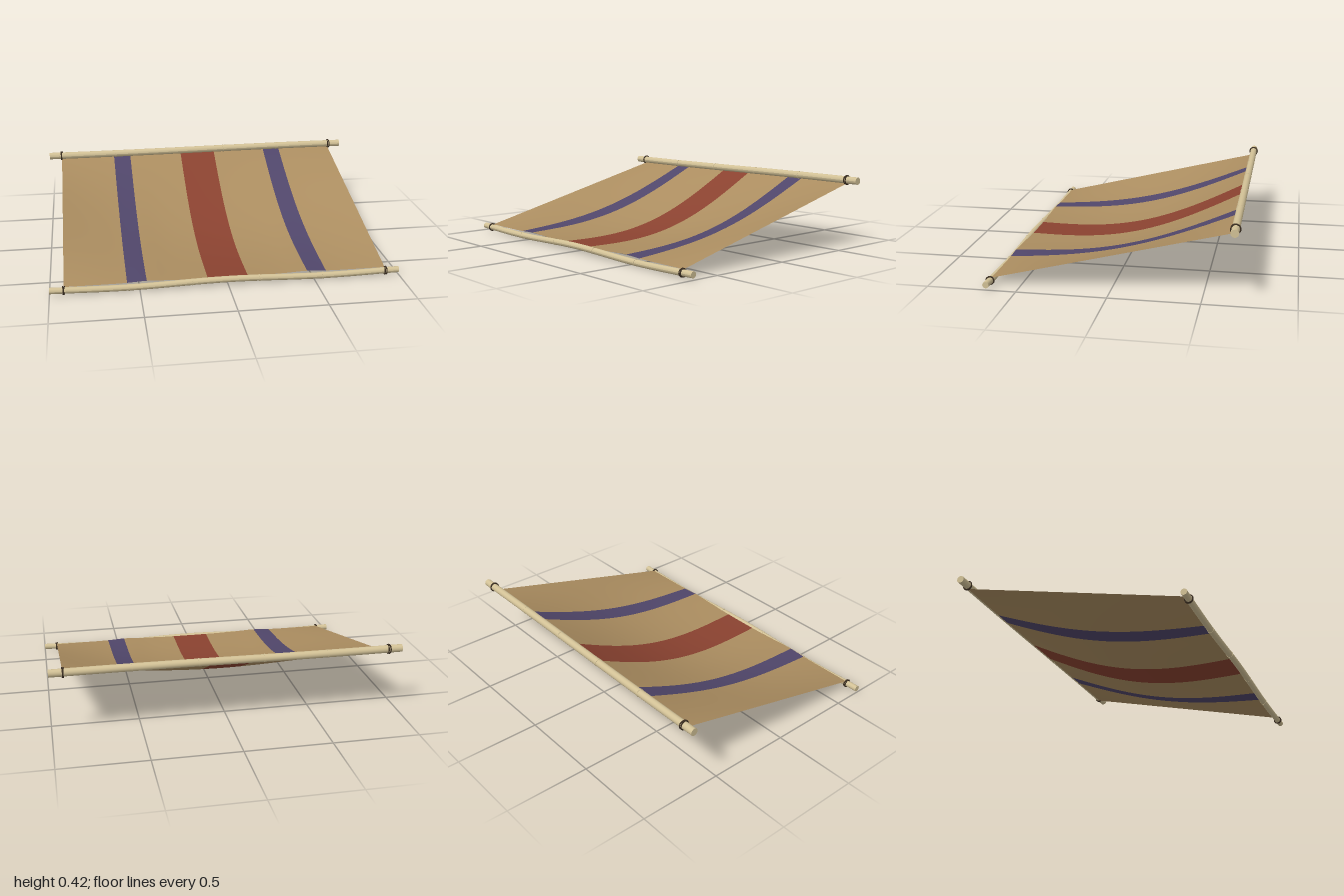
import * as THREE from 'three';

const mat = (name, color, side = THREE.FrontSide) => {
  const m = new THREE.MeshStandardMaterial({ color, side });
  m.name = name;
  return m;
};

// Pole centre heights along x
const backY = x => 0.4 + 0.004 * Math.sin(x * 2.2);
const frontY = x => 0.034 + 0.007 * Math.cos(x * Math.PI / 0.6) * (1 - 0.35 * x * x);
const BACK_Z = -0.665, FRONT_Z = 0.668;

export function createModel() {
  const group = new THREE.Group();
  const bamboo = mat('bamboo', 0xd2c196);
  const cord = mat('dark cord', 0x3c2f22);
  const cloth = mat('tan cloth', 0xab8d60, THREE.DoubleSide);
  const blue = mat('blue stripe', 0x50466a, THREE.DoubleSide);
  const red = mat('red stripe', 0x8a4230, THREE.DoubleSide);

  const add = (name, geometry, material) => {
    const mesh = new THREE.Mesh(geometry, material);
    mesh.name = name;
    group.add(mesh);
    return mesh;
  };

  // Slightly bent bamboo pole: a cylinder along x, offset by a height rule
  const pole = (name, r, z, heightAt, joints) => {
    const geo = new THREE.CylinderGeometry(r, r, 2, 16, 40).rotateZ(-Math.PI / 2);
    const p = geo.attributes.position;
    for (let i = 0; i < p.count; i++) {
      p.setXYZ(i, p.getX(i), p.getY(i) + heightAt(p.getX(i)), p.getZ(i) + z);
    }
    geo.computeVertexNormals();
    add(name, geo, bamboo);
    // Bamboo joints
    for (const x of joints) {
      const joint = new THREE.CylinderGeometry(r + 0.0015, r + 0.0015, 0.008, 16).rotateZ(Math.PI / 2);
      add(name + 'Joint', joint, bamboo).position.set(x, heightAt(x), z);
    }
    // Cord lashings at the cloth corners
    for (const side of [-1, 1]) {
      for (const [x, tilt] of [[0.925, 0.06], [0.918, -0.12]]) {
        const ring = new THREE.TorusGeometry(r + 0.004, 0.0035, 6, 20).rotateY(Math.PI / 2 + tilt);
        add(name + 'Lashing', ring, cord).position.set(side * x, heightAt(x * side), z);
      }
    }
  };
  pole('backPole', 0.022, BACK_Z, backY, [-0.56, -0.19, 0.18, 0.55]);
  pole('frontPole', 0.018, FRONT_Z, frontY, [-0.56, -0.2, 0.18, 0.55]);

  // Sagging cloth: bands of columns, each with its own colour
  const bands = [
    [-0.92, -0.57, 8, 0], [-0.57, -0.46, 4, 1], [-0.46, -0.115, 8, 0],
    [-0.115, 0.115, 6, 2],
    [0.115, 0.46, 8, 0], [0.46, 0.57, 4, 1], [0.57, 0.92, 8, 0],
  ];
  const xs = [-0.92], colours = [];
  for (const [a, b, n, c] of bands) {
    for (let i = 1; i <= n; i++) {
      xs.push(a + (b - a) * i / n);
      colours.push(c);
    }
  }
  const ROWS = 28, pos = [], index = [];
  const geo = new THREE.BufferGeometry();
  xs.forEach(x => {
    const middle = 1 - (x / 0.92) ** 2;
    const lift = Math.exp(-(((Math.abs(x) - 0.45) / 0.1) ** 2));
    for (let j = 0; j <= ROWS; j++) {
      const t = j / ROWS;
      const y0 = 0.051 + 0.007 * lift, y1 = backY(x) - 0.021;
      const sag = 0.118 * middle * Math.sin(Math.PI * t);
      pos.push(x, y0 + (y1 - y0) * t - sag, 0.66 + (BACK_Z - 0.66) * t);
    }
  });
  colours.forEach((c, i) => {
    geo.addGroup(index.length, ROWS * 6, c);
    for (let j = 0; j < ROWS; j++) {
      const a = i * (ROWS + 1) + j, b = a + ROWS + 1;
      index.push(a, b, b + 1, a, b + 1, a + 1);
    }
  });
  geo.setAttribute('position', new THREE.Float32BufferAttribute(pos, 3));
  geo.setIndex(index);
  geo.computeVertexNormals();
  add('stripedCloth', geo, [cloth, blue, red]);

  return group;
}
